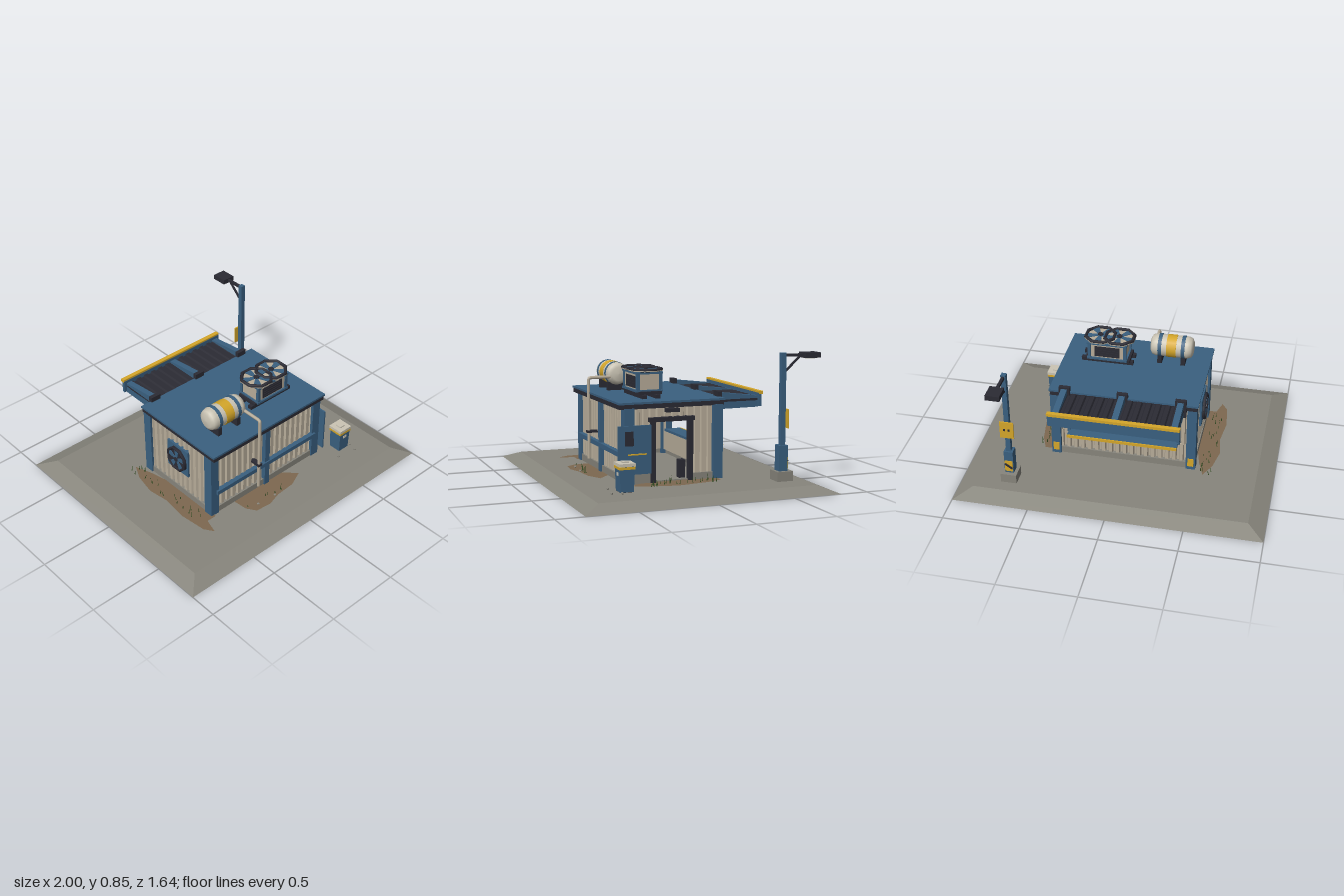
import * as THREE from 'three';

const paint = (name, color) => {
  const m = new THREE.MeshStandardMaterial({ color });
  m.name = name;
  return m;
};

export function createModel() {
  const root = new THREE.Group();
  root.name = 'serviceKiosk';
  const blue = paint('blue steel', 0x3a6080);
  const dark = paint('dark metal', 0x2b2b34);
  const beige = paint('beige panel', 0xb8ad9a);
  const cream = paint('cream tank', 0xcbc5b5);
  const yellow = paint('safety yellow', 0xd5a72a);
  const grey = paint('concrete', 0x87857c);
  const brown = paint('dirt', 0x7d6850);
  const green = paint('grass', 0x3c5a2a);

  const group = (name, parent = root) => {
    const g = new THREE.Group();
    g.name = name;
    parent.add(g);
    return g;
  };
  const add = (name, geo, mat, x = 0, y = 0, z = 0, parent = root) => {
    const m = new THREE.Mesh(geo, mat);
    m.name = name;
    m.position.set(x, y, z);
    parent.add(m);
    return m;
  };
  // Box given by its limits on each axis
  const span = (name, mat, x0, x1, y0, y1, z0, z1, parent = root) =>
    add(name, new THREE.BoxGeometry(x1 - x0, y1 - y0, z1 - z0), mat,
      (x0 + x1) / 2, (y0 + y1) / 2, (z0 + z1) / 2, parent);
  // Ribbed sheet: ribs face local +z, sheet stands on local y = 0
  const ribbed = (w, h, pitch = 0.048, depth = 0.014) => {
    const s = new THREE.Shape();
    const n = Math.max(1, Math.round(w / pitch)), p = w / n;
    s.moveTo(-w / 2, 0.015);
    for (let i = 0; i < n; i++) {
      const x = -w / 2 + i * p;
      s.lineTo(x, 0);
      s.lineTo(x + p * 0.3, 0);
      s.lineTo(x + p * 0.42, -depth);
      s.lineTo(x + p * 0.88, -depth);
    }
    s.lineTo(w / 2, 0);
    s.lineTo(w / 2, 0.015);
    return new THREE.ExtrudeGeometry(s, { depth: h, bevelEnabled: false }).rotateX(-Math.PI / 2);
  };
  // Octagonal fan facing local +z
  const fan = (name, r, back, blades, parent = root) => {
    const g = group(name, parent);
    add('fanBack', new THREE.CylinderGeometry(r, r, 0.006, 8).rotateX(Math.PI / 2).rotateZ(Math.PI / 8), back, 0, 0, 0, g);
    add('fanRing', new THREE.TorusGeometry(r * 0.9, r * 0.11, 6, 8).rotateZ(Math.PI / 8), dark, 0, 0, 0.006, g);
    add('fanHub', new THREE.CylinderGeometry(r * 0.17, r * 0.17, 0.016, 8).rotateX(Math.PI / 2), dark, 0, 0, 0.008, g);
    for (let i = 0; i < 5; i++) {
      const s = new THREE.Shape([[0, -0.05], [0.8, -0.25], [0.85, 0.05], [0.75, 0.2], [0, 0.05]]
        .map(([x, y]) => new THREE.Vector2(x * r, y * r)));
      const b = add('fanBlade', new THREE.ExtrudeGeometry(s, { depth: 0.004, bevelEnabled: false }), blades, 0, 0, 0.005, g);
      b.rotation.z = (i / 5) * Math.PI * 2 + 0.3;
    }
    return g;
  };

  // Ground slab with sloping rim
  const slab = new THREE.BoxGeometry(2, 0.045, 1.64);
  const sp = slab.attributes.position;
  for (let i = 0; i < sp.count; i++)
    if (sp.getY(i) > 0) sp.setXYZ(i, sp.getX(i) * 0.89, sp.getY(i), sp.getZ(i) * 0.866);
  slab.computeVertexNormals();
  add('groundSlab', slab, grey, 0, 0.0225, 0);

  // Dirt patches, points as x, z
  [[[-0.54, -0.3], [-0.5, -0.18], [-0.46, 0], [-0.46, 0.42], [-0.53, 0.42], [-0.56, 0.52], [-0.6, 0.46], [-0.62, 0.28], [-0.6, 0.1], [-0.62, -0.05], [-0.59, -0.2]],
   [[0.46, -0.22], [0.54, -0.22], [0.58, -0.12], [0.6, 0], [0.615, 0.1], [0.58, 0.25], [0.54, 0.36], [0.5, 0.35], [0.46, 0.25]],
   [[-0.28, 0.4], [0.15, 0.4], [0.23, 0.48], [0.12, 0.53], [-0.02, 0.54], [-0.12, 0.57], [-0.23, 0.56], [-0.27, 0.5]],
  ].forEach((pts) => {
    const s = new THREE.Shape(pts.map(([x, z]) => new THREE.Vector2(x, -z)));
    add('dirtPatch', new THREE.ShapeGeometry(s).rotateX(-Math.PI / 2), brown, 0, 0.048, 0);
  });

  // Grass tufts
  let seed = 7;
  const rnd = () => (seed = (seed * 16807) % 2147483647) / 2147483647;
  const grass = group('grass');
  [[-0.6, -0.51, -0.3, 0.4, 24], [0.5, 0.58, -0.18, 0.27, 26], [-0.25, 0.1, 0.46, 0.54, 6]].forEach(([x0, x1, z0, z1, n]) => {
    for (let i = 0; i < n; i++) {
      const h = 0.02 + rnd() * 0.035;
      const b = add('grassBlade', new THREE.ConeGeometry(0.004, h, 3), green,
        x0 + rnd() * (x1 - x0), 0.045 + h / 2, z0 + rnd() * (z1 - z0), grass);
      b.rotation.set(rnd() * 0.5 - 0.25, 0, rnd() * 0.5 - 0.25);
    }
  });

  // Plinth, floor and ribbed walls
  const hut = group('hut');
  span('floor', grey, -0.46, 0.46, 0.04, 0.055, -0.235, 0.39, hut);
  span('plinthFront', grey, -0.46, 0.46, 0.045, 0.09, 0.375, 0.398, hut);
  span('plinthBack', grey, -0.46, 0.46, 0.045, 0.09, -0.243, -0.22, hut);
  span('plinthRight', grey, -0.475, -0.45, 0.045, 0.09, -0.235, 0.39, hut);
  span('plinthLeft', grey, 0.45, 0.475, 0.045, 0.09, -0.235, -0.04, hut);
  span('plinthLeft', grey, 0.45, 0.475, 0.045, 0.11, 0.21, 0.39, hut);
  const wall = (name, w, y0, y1, x, z, turn) => {
    add(name, ribbed(w, y1 - y0), beige, x, y0, z, hut).rotation.y = turn;
  };
  const Q = Math.PI / 2;
  wall('wallFront', 0.9, 0.085, 0.52, 0, 0.375, 0);
  wall('wallRight', 0.62, 0.085, 0.52, -0.455, 0.08, -Q);
  wall('wallLeftRear', 0.18, 0.085, 0.52, 0.455, -0.14, Q);
  wall('wallLeftFront', 0.18, 0.085, 0.52, 0.455, 0.295, Q);
  wall('wallOverDoor', 0.255, 0.43, 0.52, 0.455, 0.078, Q);
  wall('wallUnderCounter', 0.9, 0.085, 0.225, 0, -0.22, Math.PI);
  wall('wallOverWindow', 0.9, 0.46, 0.52, 0, -0.22, Math.PI);
  for (const s of [-1, 1]) wall('wallBesideWindow', 0.08, 0.22, 0.47, s * 0.41, -0.22, Math.PI);

  // Corner posts with yellow feet, mid post and front rail
  for (const s of [-1, 1]) for (const z of [-0.2225, 0.3725]) {
    add('cornerPost', new THREE.BoxGeometry(0.063, 0.475, 0.065), blue, s * 0.452, 0.2825, z, hut);
    if (z < 0) add('postMarking', new THREE.BoxGeometry(0.04, 0.06, 0.006), yellow, s * 0.452, 0.1, z - 0.033, hut);
  }
  span('midPost', blue, -0.02, 0.02, 0.045, 0.52, 0.37, 0.41, hut);
  span('frontRail', blue, -0.44, 0.44, 0.21, 0.24, 0.385, 0.418, hut);

  // Roof
  span('roofTrim', dark, -0.485, 0.48, 0.515, 0.546, -0.262, 0.435, hut);
  span('roofPanel', blue, -0.492, 0.487, 0.545, 0.558, -0.268, 0.44, hut);

  // Doorway and door leaf folded back against the wall
  const door = group('door');
  span('doorJamb', dark, 0.445, 0.488, 0.045, 0.45, 0.2, 0.232, door);
  span('doorJamb', dark, 0.445, 0.488, 0.045, 0.45, -0.05, -0.022, door);
  span('doorHeader', dark, 0.445, 0.495, 0.43, 0.457, -0.057, 0.242, door);
  span('doorLeaf', blue, 0.482, 0.492, 0.11, 0.415, 0.232, 0.45, door);
  span('doorVent', dark, 0.49, 0.497, 0.29, 0.38, 0.35, 0.405, door);
  span('doorHandle', yellow, 0.49, 0.5, 0.232, 0.24, 0.265, 0.385, door);
  span('doorLamp', dark, 0.465, 0.5, 0.488, 0.512, 0.045, 0.135, door);
  span('insideCrate', dark, 0.38, 0.43, 0.055, 0.17, -0.02, 0.02, door);

  // Wall fan
  span('fanHousing', blue, -0.482, -0.44, 0.23, 0.43, -0.02, 0.18);
  const wallFan = fan('wallFan', 0.093, dark, blue);
  wallFan.position.set(-0.487, 0.33, 0.08);
  wallFan.rotation.y = -Q;

  // Service window and counter
  const win = group('serviceWindow');
  for (const s of [-1, 1]) add('windowSide', new THREE.BoxGeometry(0.022, 0.24, 0.04), blue, s * 0.365, 0.345, -0.225, win);
  span('windowHead', blue, -0.375, 0.375, 0.45, 0.47, -0.245, -0.205, win);
  span('counter', blue, -0.365, 0.365, 0.224, 0.24, -0.305, -0.19, win);
  span('counterEdge', yellow, -0.365, 0.365, 0.222, 0.242, -0.312, -0.304, win);

  // Canopy over the counter
  const canopy = group('canopy');
  const sheet = add('canopySheet', ribbed(0.8, 0.27, 0.06, 0.012), dark, 0, 0.535, -0.265, canopy);
  sheet.rotation.x = -Q;
  span('canopyBeam', blue, -0.42, 0.42, 0.485, 0.57, -0.555, -0.535, canopy);
  span('canopyEdge', yellow, -0.422, 0.422, 0.563, 0.582, -0.565, -0.536, canopy);
  const rib = new THREE.Shape([[0.262, 0.475], [0.54, 0.478], [0.54, 0.55], [0.262, 0.583]].map(([a, b]) => new THREE.Vector2(a, b)));
  const ribGeo = new THREE.ExtrudeGeometry(rib, { depth: 0.04, bevelEnabled: false }).rotateY(Q).translate(-0.02, 0, 0);
  for (const x of [-0.38, 0, 0.38]) {
    add('canopyArm', ribGeo, blue, x, 0, 0, canopy);
    span('armPlate', dark, x - 0.036, x + 0.036, 0.47, 0.592, -0.277, -0.25, canopy);
  }
  for (const x of [-0.19, 0.19]) {
    span('stripLight', cream, x - 0.12, x + 0.12, 0.466, 0.486, -0.42, -0.383, canopy);
    span('stripLightMount', dark, x - 0.1, x + 0.1, 0.48, 0.53, -0.41, -0.393, canopy);
  }

  // Roof tank lying along x, with bands, saddles and downpipe
  const tank = group('roofTank');
  const profile = [[0, -0.145], [0.045, -0.142], [0.066, -0.13], [0.075, -0.105], [0.075, 0.105], [0.066, 0.13], [0.045, 0.142], [0, 0.145]]
    .map(([a, b]) => new THREE.Vector2(a, b));
  add('tankBody', new THREE.LatheGeometry(profile, 16).rotateZ(-Q), cream, -0.235, 0.67, 0.24, tank);
  [[yellow, -0.235, 0.065], [blue, -0.313, 0.024], [blue, -0.157, 0.024]].forEach(([mat, x, w]) =>
    add('tankBand', new THREE.CylinderGeometry(0.0775, 0.0775, w, 16).rotateZ(Q), mat, x, 0.67, 0.24, tank));
  for (const x of [-0.313, -0.157]) span('tankSaddle', dark, x - 0.015, x + 0.015, 0.556, 0.615, 0.185, 0.3, tank);
  const pipe = new THREE.CurvePath();
  const pts = [[-0.11, 0.652, 0.28], [-0.11, 0.652, 0.43], [-0.11, 0.637, 0.445], [-0.11, 0.115, 0.445]].map((p) => new THREE.Vector3(...p));
  pipe.add(new THREE.LineCurve3(pts[0], pts[1]));
  pipe.add(new THREE.QuadraticBezierCurve3(pts[1], new THREE.Vector3(-0.11, 0.652, 0.445), pts[2]));
  pipe.add(new THREE.LineCurve3(pts[2], pts[3]));
  add('downPipe', new THREE.TubeGeometry(pipe, 60, 0.011, 8), beige, 0, 0, 0, tank);
  span('pipeClamp', dark, -0.126, -0.094, 0.288, 0.304, 0.38, 0.459, tank);

  // Rooftop cooling unit
  const ac = group('coolingUnit');
  for (const z of [0.135, 0.225]) span('unitSkid', dark, 0.01, 0.36, 0.556, 0.582, z - 0.015, z + 0.015, ac);
  span('unitBase', dark, 0.03, 0.33, 0.58, 0.6, 0.1, 0.25, ac);
  span('unitBody', beige, 0.058, 0.302, 0.597, 0.72, 0.097, 0.253, ac);
  for (const x of [0.06, 0.3]) for (const z of [0.099, 0.251])
    add('unitCorner', new THREE.BoxGeometry(0.02, 0.125, 0.02), blue, x, 0.66, z, ac);
  for (const y of [0.602, 0.715]) span('unitFrame', blue, 0.045, 0.315, y - 0.007, y + 0.007, 0.085, 0.265, ac);
  for (const z of [0.097, 0.253]) {
    add('louvrePanel', new THREE.BoxGeometry(0.17, 0.075, 0.008), dark, 0.18, 0.655, z, ac);
    for (let i = 0; i < 4; i++) add('louvreSlat', new THREE.BoxGeometry(0.15, 0.007, 0.016), dark, 0.18, 0.63 + i * 0.017, z, ac);
  }
  for (const x of [0.11, 0.24]) {
    const f = fan('topFan', 0.112, beige, blue, ac);
    f.position.set(x, 0.728, 0.177);
    f.rotation.x = -Q;
  }

  // Lamp post with sign
  const lamp = group('lampPost');
  span('postFooting', grey, 0.623, 0.727, 0.04, 0.107, -0.63, -0.522, lamp);
  span('postSleeve', blue, 0.645, 0.705, 0.105, 0.27, -0.602, -0.542, lamp);
  span('post', blue, 0.659, 0.691, 0.26, 0.85, -0.59, -0.558, lamp);
  span('sleeveMarking', yellow, 0.649, 0.701, 0.12, 0.2, -0.606, -0.601, lamp);
  add('sleeveStripe', new THREE.BoxGeometry(0.06, 0.016, 0.004), dark, 0.675, 0.16, -0.606, lamp).rotation.z = 0.6;
  span('lampArm', dark, 0.666, 0.684, 0.825, 0.842, -0.72, -0.585, lamp);
  add('lampBrace', new THREE.BoxGeometry(0.012, 0.012, 0.14), dark, 0.675, 0.777, -0.638, lamp).rotation.x = 0.75;
  span('lampHead', dark, 0.63, 0.72, 0.815, 0.848, -0.815, -0.71, lamp);
  span('lampLens', cream, 0.642, 0.708, 0.811, 0.816, -0.803, -0.722, lamp);
  span('sign', yellow, 0.63, 0.72, 0.38, 0.5, -0.599, -0.59, lamp);
  for (const x of [0.66, 0.69]) span('signMark', dark, x - 0.006, x + 0.006, 0.435, 0.45, -0.602, -0.598, lamp);

  // Rubbish bin
  const bin = group('bin');
  const binGeo = new THREE.CylinderGeometry(0.066, 0.06, 0.155, 4).rotateY(Math.PI / 4);
  add('binBody', binGeo.toNonIndexed(), blue, 0.64, 0.125, 0.46, bin).geometry.computeVertexNormals();
  span('binFoot', dark, 0.6, 0.68, 0.045, 0.052, 0.42, 0.5, bin);
  span('binBand', yellow, 0.59, 0.69, 0.185, 0.201, 0.41, 0.51, bin);
  span('binLid', cream, 0.588, 0.692, 0.203, 0.222, 0.408, 0.512, bin);
  span('binLidGrip', cream, 0.62, 0.66, 0.22, 0.23, 0.44, 0.48, bin);
  span('binPlate', cream, 0.625, 0.655, 0.145, 0.165, 0.5, 0.508, bin);

  // Loose stones
  [[0.71, 0.5], [0.555, 0.54], [0.69, 0.56], [-0.04, 0.53], [-0.18, 0.52]].forEach(([x, z]) =>
    add('stone', new THREE.DodecahedronGeometry(0.009), grey, x, 0.05, z));

  return root;
}
